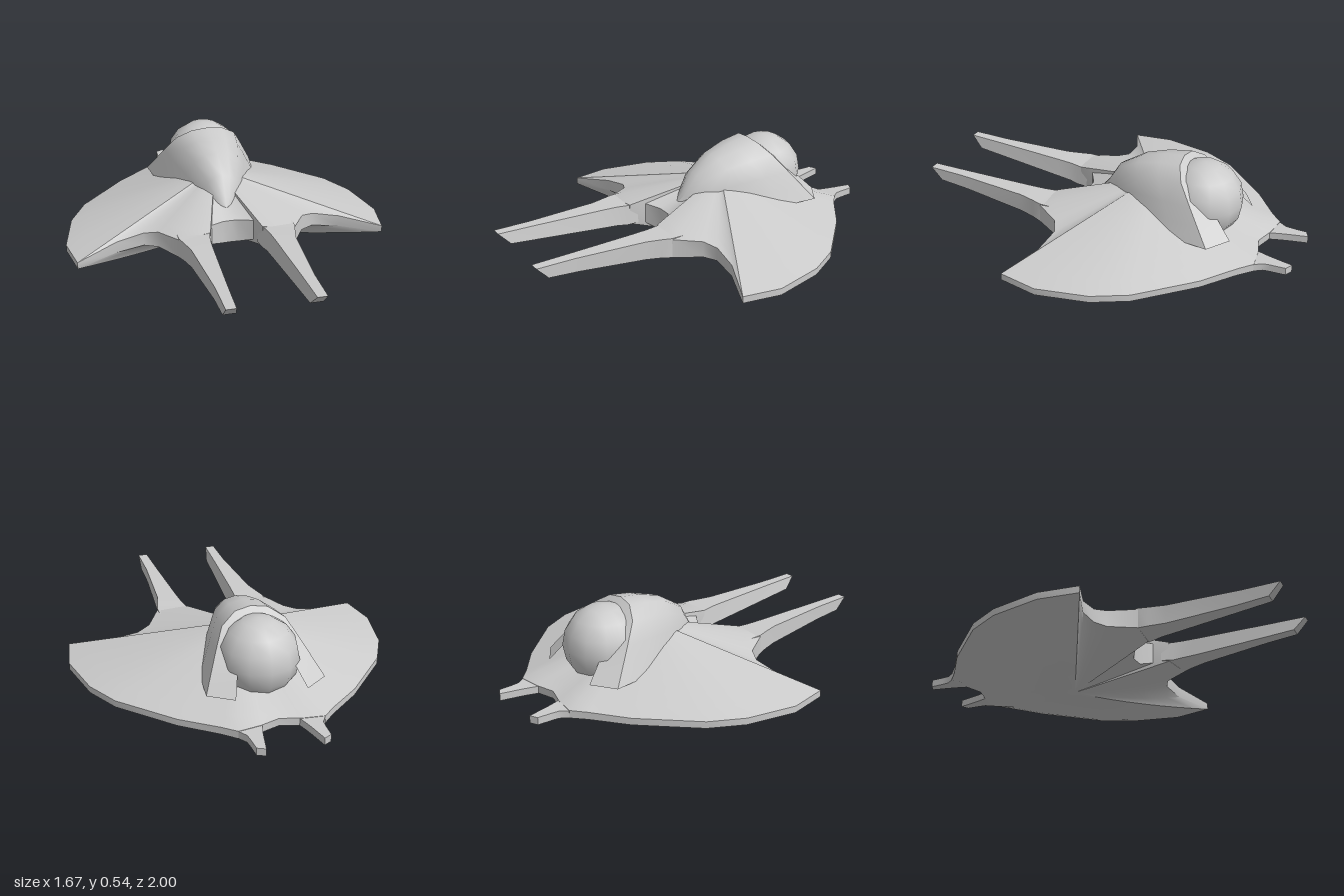
import * as THREE from 'three';
import { mergeVertices, toCreasedNormals } from 'three/addons/utils/BufferGeometryUtils.js';

const material = new THREE.MeshStandardMaterial({ color: 0xcccccc, side: THREE.DoubleSide });

// Skin a list of rings (each a list of [x, y, z]); optionally closed round and capped at the end.
function loft(rings, { closed = true, cap = false, crease = 0.6 } = {}) {
  const n = rings[0].length;
  if (cap) {
    const last = rings[rings.length - 1];
    const mid = [0, 1, 2].map(k => last.reduce((s, p) => s + p[k], 0) / n);
    rings = [...rings, last.map(() => mid)];
  }
  const index = [];
  for (let r = 0; r < rings.length - 1; r++) {
    for (let i = 0; i < (closed ? n : n - 1); i++) {
      const j = (i + 1) % n;
      const a = r * n + i, b = a + n, c = (r + 1) * n + j, d = r * n + j;
      index.push(a, b, c, a, c, d);
    }
  }
  const geo = new THREE.BufferGeometry();
  geo.setAttribute('position', new THREE.Float32BufferAttribute(rings.flat(2), 3));
  geo.setIndex(index);
  return toCreasedNormals(mergeVertices(geo, 1e-4), crease);
}

function add(group, name, geometry, mirrored = false) {
  const mesh = new THREE.Mesh(geometry, material);
  mesh.name = name;
  if (mirrored) mesh.scale.x = -1;
  group.add(mesh);
  return mesh;
}

// Half outline of the wing body, front to back: x, z, rim top, rim bottom
const half = [
  [0, 0.155, 0.235, 0.11], [0.04, 0.157, 0.235, 0.11], [0.11, 0.2, 0.245, 0.135],
  [0.135, 0.28, 0.248, 0.14], [0.30, 0.3, 0.24, 0.14], [0.38, 0.17, 0.225, 0.14],
  [0.45, 0.135, 0.21, 0.14], [0.59, 0.15, 0.185, 0.125], [0.80, 0.24, 0.145, 0.11],
  [0.835, 0.04, 0.14, 0.105], [0.78, -0.22, 0.14, 0.105], [0.69, -0.39, 0.14, 0.105],
  [0.45, -0.64, 0.14, 0.105], [0.28, -0.77, 0.143, 0.105], [0.215, -0.83, 0.145, 0.105],
  [0.10, -0.815, 0.145, 0.105], [0, -0.785, 0.145, 0.105],
];

function wingBody() {
  const outline = [...half, ...half.slice(1, -1).reverse().map(([x, ...rest]) => [-x, ...rest])];
  const cz = -0.2, steps = 8;
  const ring = (t, height) => outline.map(p => [p[0] * t, height(p, t), cz + (p[1] - cz) * t]);
  // conical upper skin
  const top = (p, t) => 0.37 + (p[2] - 0.37) * t;
  // bowed hull, straighter toward the front
  const bottom = (p, t) => {
    const front = Math.max(0, (p[1] - cz) / Math.hypot(p[0], p[1] - cz));
    return p[3] * Math.pow(t, 2 - front);
  };
  const rings = [];
  for (let i = 0; i <= steps; i++) rings.push(ring(i / steps, top));
  for (let i = steps; i >= 0; i--) rings.push(ring(i / steps, bottom));
  return loft(rings, { crease: 0.7 });
}

// Front prong sections: z top, z bottom, inner x, outer x, bottom y, top y
const frontProng = () => loft([
  [0.24, 0.24, 0.13, 0.30, 0.145, 0.245],
  [0.30, 0.30, 0.143, 0.30, 0.14, 0.246],
  [0.35, 0.35, 0.152, 0.285, 0.147, 0.248],
  [0.43, 0.43, 0.158, 0.265, 0.153, 0.25],
  [0.80, 0.78, 0.177, 0.237, 0.185, 0.26],
  [1.00, 0.94, 0.185, 0.235, 0.20, 0.265],
].map(([zt, zb, xi, xo, yb, yt]) => [
  [xi, yt, zt], [xo, yt, zt], [xo, yb, zb], [xi - 0.013, yb, zb],
]), { cap: true });

// Tail prong sections: inner z, outer z, inner x, outer x
const tailProng = () => loft([
  [-0.79, -0.79, 0.085, 0.24],
  [-0.82, -0.835, 0.095, 0.21],
  [-0.87, -0.87, 0.11, 0.187],
  [-0.91, -0.91, 0.12, 0.183],
  [-1.00, -0.98, 0.14, 0.18],
].map(([zi, zo, xi, xo]) => [
  [xo, 0.143, zo], [xi, 0.143, zi], [xi, 0.105, zi], [xo, 0.105, zo],
]), { cap: true });

// Arched hood in front of the dome; its rear sections lean backward toward the base
function hood() {
  const side = [[1, 0], [0.86, 0.25], [0.72, 0.5], [0.54, 0.8], [0.28, 0.96]];
  const arch = [...side, [0, 1], ...side.map(([x, y]) => [-x, y]).reverse()];
  const base = 0.22;
  // z, half width, top y, lean
  const rings = [
    [0.07, 0.02, 0.27, 0], [0.04, 0.08, 0.31, 0.02], [-0.02, 0.14, 0.41, 0.05],
    [-0.14, 0.22, 0.485, 0.1], [-0.26, 0.275, 0.52, 0.16], [-0.37, 0.30, 0.535, 0.24],
  ].map(([z, w, top, lean]) =>
    arch.map(([x, y]) => [x * w, base + (top - base) * y, z - lean * (1 - y)]));
  // rear lip closing onto the dome
  const last = rings[rings.length - 1];
  rings.push(last.map(([x, y, z]) => [x * 0.6, 0.22 + (y - 0.22) * 0.8, z - 0.08]));
  return loft(rings, { closed: false, crease: 0.8 });
}

export function createModel() {
  const model = new THREE.Group();
  model.name = 'flyingCraft';
  add(model, 'wingBody', wingBody());
  add(model, 'hood', hood());
  add(model, 'rearDome', new THREE.SphereGeometry(0.205, 12, 8)).position.set(0, 0.32, -0.48);
  for (const mirrored of [false, true]) {
    const label = mirrored ? 'right' : 'left';
    add(model, label + 'FrontProng', frontProng(), mirrored);
    add(model, label + 'TailProng', tailProng(), mirrored);
  }
  return model;
}
